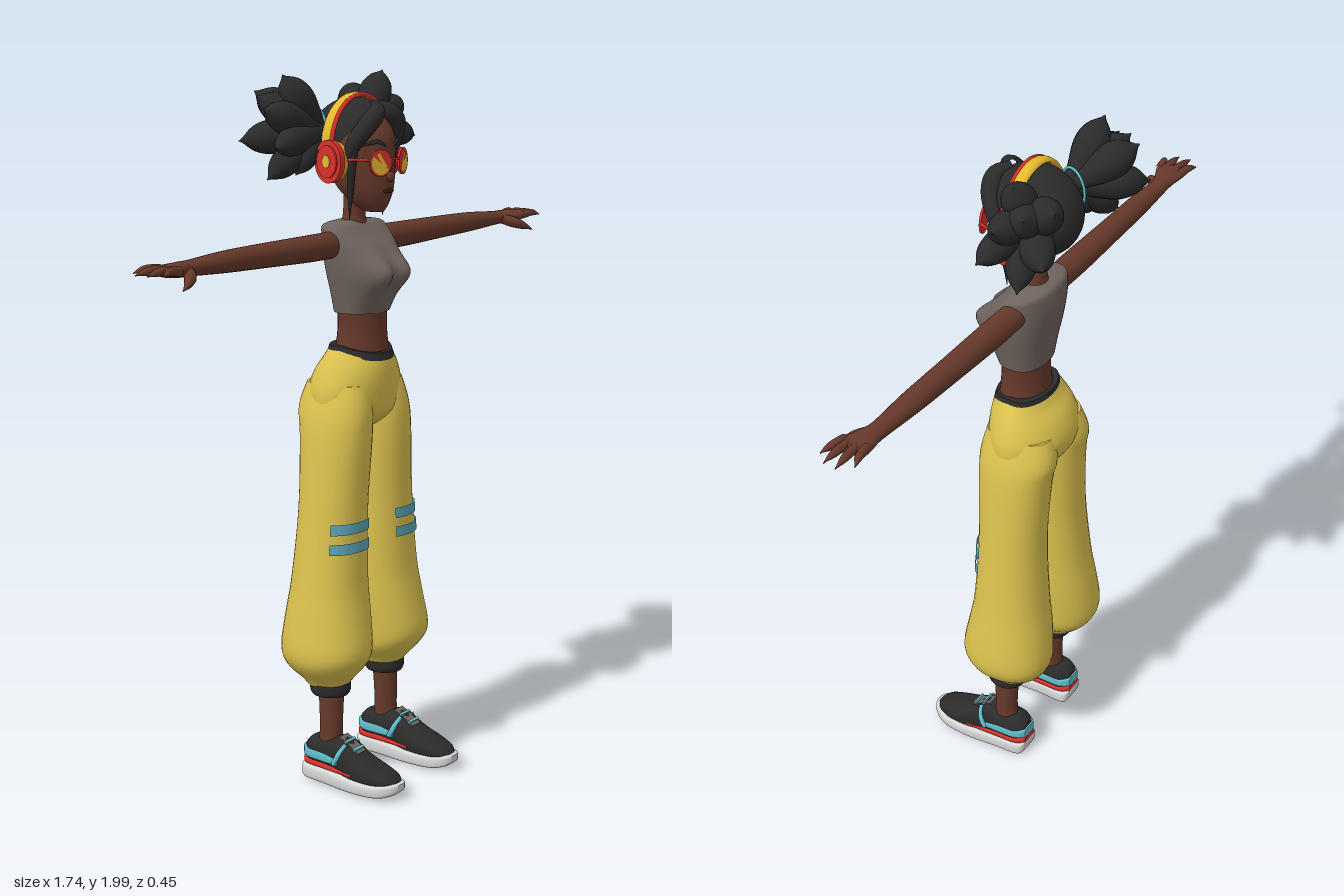
import * as THREE from 'three';
import { mergeVertices } from 'three/addons/utils/BufferGeometryUtils.js';

const paint = (name, color) => Object.assign(new THREE.MeshStandardMaterial({ color }), { name });
const V = (p) => new THREE.Vector3(...p);

// Smooth value of one column of the section table
function spline(rows, s, k) {
  const n = rows.length - 1, i = Math.min(Math.floor(s), n - 1), f = s - i;
  const at = (j) => rows[Math.max(0, Math.min(n, j))][k];
  const a = at(i - 1), b = at(i), c = at(i + 1), d = at(i + 2);
  return b + 0.5 * f * (c - a + f * (2 * a - 5 * b + 4 * c - d + f * (3 * (b - c) + d - a)));
}

// Skin through cross-sections [t, cu, cv, ru, rvPlus, rvMinus] along an axis (t must rise).
// Axis y: u = x, v = z.  Axis x: u = z, v = y.  Axis z: u = y, v = x.
function loft(rows, { axis = 'y', power = 2, seg = 32, sub = 4, from = 0, to = Math.PI * 2, open = false } = {}) {
  const pos = [], idx = [], steps = (rows.length - 1) * sub, closed = !open;
  const cols = closed ? seg : seg + 1;
  const put = (u, t, v) => pos.push(...(axis === 'y' ? [u, t, v] : axis === 'x' ? [t, v, u] : [v, u, t]));
  const bend = (x) => Math.sign(x) * Math.abs(x) ** (2 / power);
  const ring = (s) => {
    const [t, cu, cv, ru, vp, vm] = [0, 1, 2, 3, 4, 5].map((k) => spline(rows, s, k));
    for (let j = 0; j < cols; j++) {
      const a = from + (to - from) * j / seg, sn = bend(Math.sin(a));
      put(cu + ru * bend(Math.cos(a)), t, cv + (sn > 0 ? vp : vm) * sn);
    }
    return [cu, t, cv];
  };
  for (let i = 0; i <= steps; i++) ring(i / sub);
  for (let i = 0; i < steps; i++) for (let j = 0; j < seg; j++) {
    const k = (j + 1) % cols, a = i * cols + j, b = a + cols, c = i * cols + k, d = c + cols;
    idx.push(a, b, c, b, d, c);
  }
  if (closed) for (const s of [0, steps / sub]) {
    const start = pos.length / 3, mid = start + cols;
    put(...ring(s));
    for (let j = 0; j < cols; j++) {
      const a = start + j, b = start + (j + 1) % cols;
      s === 0 ? idx.push(mid, a, b) : idx.push(mid, b, a);
    }
  }
  const g = new THREE.BufferGeometry();
  g.setAttribute('position', new THREE.Float32BufferAttribute(pos, 3));
  g.setIndex(idx);
  g.computeVertexNormals();
  return g;
}

// Tube along a curve with varying radius
function taper(points, radii, seg = 16, sides = 12) {
  const curve = new THREE.CatmullRomCurve3(points.map(V));
  const g = new THREE.TubeGeometry(curve, seg, 1, sides), p = g.attributes.position, v = new THREE.Vector3();
  for (let i = 0; i <= seg; i++) {
    const c = curve.getPointAt(i / seg), r = spline(radii.map((x) => [x]), i / seg * (radii.length - 1), 0);
    for (let j = 0; j <= sides; j++) {
      const k = i * (sides + 1) + j;
      v.fromBufferAttribute(p, k).sub(c).multiplyScalar(Math.max(r, 0.0005)).add(c);
      p.setXYZ(k, v.x, v.y, v.z);
    }
  }
  g.deleteAttribute('uv');
  g.deleteAttribute('normal');
  const m = mergeVertices(g, 1e-5);
  m.computeVertexNormals();
  return m;
}

function warp(g, rule) {
  const p = g.attributes.position;
  for (let i = 0; i < p.count; i++) p.setXYZ(i, ...rule(p.getX(i), p.getY(i), p.getZ(i)));
  g.computeVertexNormals();
  return g;
}

function flipX(g) {
  const m = g.clone().scale(-1, 1, 1), a = m.index.array;
  for (let i = 0; i < a.length; i += 3) [a[i], a[i + 1]] = [a[i + 1], a[i]];
  m.computeVertexNormals();
  return m;
}

const ball = (x, y, z, a, b, c) => new THREE.SphereGeometry(1, 20, 14).scale(a, b, c).translate(x, y, z);
const disc = (r, h, x, y, z) => new THREE.CylinderGeometry(r, r, h, 28).rotateZ(Math.PI / 2).scale(1, 1.2, 0.92).translate(x, y, z);

export function createModel() {
  const model = new THREE.Group();
  const skin = paint('skin', 0x66392a), hair = paint('black', 0x2b2b2c), cloth = paint('trouser yellow', 0xdcc24e);
  const top = paint('taupe', 0x71655f), red = paint('red', 0xd8322a), gold = paint('gold', 0xf0c030);
  const cyan = paint('cyan', 0x5fc0cc), blue = paint('patch blue', 0x5ba6b8), white = paint('sole white', 0xd6d6d6);
  const brown = paint('lip brown', 0x3d1c17);
  blue.side = THREE.DoubleSide;
  const add = (name, geo, mat) => {
    const m = new THREE.Mesh(geo, mat);
    m.name = name;
    model.add(m);
  };
  const pair = (name, geo, mat) => {
    add(name + 'Left', geo, mat);
    add(name + 'Right', flipX(geo), mat);
  };

  // Trousers, with the waist dipping at the front
  const dip = (x, y, z) => [x, y - 0.022 * Math.max(0, z / 0.085) * Math.max(0, Math.min(1, (y - 1.16) / 0.07)), z];
  const legRows = [
    [0.285, 0.128, -0.02, 0.05, 0.055, 0.06], [0.31, 0.128, -0.02, 0.066, 0.072, 0.088],
    [0.35, 0.132, -0.02, 0.102, 0.107, 0.122], [0.4, 0.135, -0.02, 0.115, 0.13, 0.135],
    [0.5, 0.125, -0.02, 0.113, 0.115, 0.125], [0.6, 0.117, -0.02, 0.106, 0.1, 0.11],
    [0.8, 0.105, -0.02, 0.094, 0.095, 0.096], [1.0, 0.091, -0.02, 0.088, 0.104, 0.105],
    [1.08, 0.084, -0.02, 0.08, 0.103, 0.119], [1.15, 0.072, -0.02, 0.068, 0.09, 0.1]];
  pair('trouserLeg', loft(legRows, { power: 2.15 }), cloth);
  add('hips', warp(loft([
    [1.02, 0, -0.02, 0.06, 0.05, 0.05], [1.06, 0, -0.02, 0.145, 0.095, 0.1], [1.12, 0, -0.02, 0.157, 0.106, 0.118],
    [1.18, 0, -0.02, 0.138, 0.108, 0.1], [1.22, 0, -0.02, 0.117, 0.106, 0.07], [1.245, 0, -0.02, 0.1, 0.102, 0.056]]), dip), cloth);
  add('waistband', warp(loft([[1.234, 0, -0.02, 0.105, 0.106, 0.06], [1.254, 0, -0.02, 0.098, 0.1, 0.055]]), dip), hair);
  // Knee patches follow the leg surface
  for (const y of [0.705, 0.76]) {
    const rows = [y - 0.015, y + 0.015].map((h) => legRows[5].map((a, k) =>
      (k ? THREE.MathUtils.lerp(a, legRows[6][k], (h - 0.6) / 0.2) + (k > 2 ? 0.005 : 0) : h)));
    pair('kneePatch', loft(rows, { power: 2.15, seg: 16, sub: 1, from: 0.58, to: 2.0, open: true }), blue);
  }

  // Ankles and cuffs
  pair('cuff', loft([[0.262, 0.128, -0.014, 0.05, 0.052, 0.054], [0.275, 0.128, -0.014, 0.056, 0.058, 0.06],
    [0.302, 0.128, -0.014, 0.055, 0.058, 0.06]]), hair);
  pair('ankle', loft([[0.08, 0.13, -0.012, 0.036, 0.036, 0.04], [0.16, 0.13, -0.01, 0.032, 0.032, 0.034],
    [0.29, 0.127, -0.012, 0.036, 0.038, 0.038]]), skin);

  // Shoes, lofted from heel to toe
  const shoe = { axis: 'z', seg: 28 };
  pair('sole', loft([[-0.09, 0.034, 0.13, 0.014, 0.03, 0.03], [-0.075, 0.026, 0.13, 0.024, 0.048, 0.048],
    [0, 0.025, 0.132, 0.025, 0.053, 0.05], [0.1, 0.023, 0.134, 0.023, 0.061, 0.058],
    [0.18, 0.025, 0.134, 0.021, 0.056, 0.054], [0.222, 0.033, 0.132, 0.017, 0.036, 0.036],
    [0.236, 0.039, 0.131, 0.008, 0.016, 0.016]], { ...shoe, power: 4 }), white);
  pair('shoeUpper', loft([[-0.086, 0.085, 0.13, 0.024, 0.022, 0.022], [-0.06, 0.083, 0.13, 0.046, 0.043, 0.043],
    [0, 0.085, 0.131, 0.052, 0.047, 0.046], [0.045, 0.083, 0.132, 0.058, 0.05, 0.049],
    [0.1, 0.063, 0.133, 0.045, 0.054, 0.052], [0.16, 0.053, 0.133, 0.031, 0.052, 0.05],
    [0.205, 0.048, 0.132, 0.02, 0.038, 0.038], [0.226, 0.044, 0.131, 0.008, 0.015, 0.015]], { ...shoe, power: 2.4 }), hair);
  const band = (y, h, z1, grow) => loft([[-0.091, y, 0.13, h, 0.025, 0.025], [-0.066, y, 0.13, h, 0.044 + grow, 0.044 + grow],
    [0, y, 0.131, h, 0.049 + grow, 0.048 + grow], [z1, y - 0.003, 0.133, h * 0.6, 0.053 + grow, 0.052 + grow]], { ...shoe, power: 5 });
  pair('shoeRedBand', band(0.056, 0.009, 0.1, 0.001), red);
  pair('shoeHeelBand', band(0.082, 0.016, 0.05, 0), cyan);
  for (const s of [-1, 1]) {
    pair('shoeSideStrap', taper([[0.132 + s * 0.049, 0.072, 0.035], [0.132 + s * 0.045, 0.1, 0.05], [0.132 + s * 0.026, 0.132, 0.062]],
      [0.008, 0.009, 0.006], 8, 8), cyan);
  }
  pair('shoeTongue', new THREE.BoxGeometry(0.038, 0.009, 0.075).rotateX(0.5).translate(0.132, 0.124, 0.066), top);
  for (const z of [0.058, 0.088]) {
    pair('lace', new THREE.BoxGeometry(0.044, 0.006, 0.008).rotateX(0.5).translate(0.132, 0.167 - z * 0.55, z), cyan);
  }

  // Midriff, cropped top and neck
  add('midriff', loft([[1.2, 0, -0.005, 0.092, 0.08, 0.065], [1.29, 0, -0.002, 0.077, 0.068, 0.058],
    [1.37, 0, 0, 0.082, 0.066, 0.058]]), skin);
  add('croppedTop', warp(loft([[1.343, 0, 0, 0.085, 0.066, 0.064], [1.4, 0, 0, 0.097, 0.086, 0.072],
    [1.46, 0, 0, 0.11, 0.1, 0.083], [1.52, 0, 0, 0.117, 0.07, 0.092], [1.56, 0, -0.01, 0.12, 0.04, 0.08],
    [1.583, 0, -0.025, 0.108, 0.032, 0.058], [1.592, 0, -0.028, 0.05, 0.02, 0.035]], { power: 2.4, seg: 48, sub: 6 }),
  (x, y, z) => [x, y, z + (z > 0.02 ? 0.036 * Math.exp(-(((Math.abs(x) - 0.048) / 0.04) ** 2) - ((y - 1.452) / 0.05) ** 2) : 0)]), top);
  add('neck', loft([[1.565, 0, -0.028, 0.046, 0.04, 0.036], [1.61, 0, -0.026, 0.032, 0.03, 0.03],
    [1.7, 0, -0.018, 0.034, 0.034, 0.034]]), skin);

  // Arms and hands
  pair('arm', loft([[0.09, -0.022, 1.532, 0.034, 0.036, 0.036], [0.2, -0.021, 1.531, 0.037, 0.036, 0.036],
    [0.4, -0.02, 1.533, 0.034, 0.032, 0.032], [0.55, -0.018, 1.534, 0.032, 0.028, 0.028],
    [0.68, -0.016, 1.534, 0.026, 0.02, 0.021], [0.72, -0.012, 1.535, 0.03, 0.019, 0.02],
    [0.77, -0.006, 1.537, 0.044, 0.015, 0.017], [0.795, -0.005, 1.538, 0.04, 0.01, 0.012]], { axis: 'x', seg: 24 }), skin);
  [[-0.036, -0.054, 0.84], [-0.014, -0.02, 0.87], [0.008, 0.016, 0.866], [0.027, 0.045, 0.84]].forEach(([z0, z1, x]) =>
    pair('finger', taper([[0.765, 1.538, z0], [0.81, 1.542, (z0 + z1) / 2], [x - 0.005, 1.536, z1], [x, 1.535, z1]],
      [0.013, 0.012, 0.009, 0.001], 12, 10), skin));
  pair('thumb', taper([[0.7, 1.53, 0.0], [0.735, 1.515, 0.035], [0.77, 1.5, 0.052], [0.785, 1.494, 0.056]],
    [0.014, 0.016, 0.011, 0.001], 12, 10), skin);

  // Head and face
  add('head', loft([[1.617, 0, 0.045, 0.018, 0.026, 0.03], [1.638, 0, 0.03, 0.043, 0.052, 0.05],
    [1.68, 0, 0.008, 0.069, 0.086, 0.075], [1.75, 0, -0.01, 0.086, 0.106, 0.1], [1.82, 0, -0.02, 0.091, 0.114, 0.115],
    [1.88, 0, -0.025, 0.073, 0.08, 0.09], [1.91, 0, -0.025, 0.03, 0.03, 0.04]]), skin);
  add('nose', ball(0, 1.714, 0.095, 0.014, 0.014, 0.014), skin);
  add('noseBridge', ball(0, 1.745, 0.091, 0.009, 0.035, 0.01), skin);
  add('lips', ball(0, 1.676, 0.09, 0.022, 0.007, 0.009), brown);
  pair('eyebrow', taper([[0.018, 1.797, 0.094], [0.045, 1.808, 0.085], [0.072, 1.797, 0.054]], [0.003, 0.006, 0.002], 10, 8), hair);

  // Round tinted glasses
  const face = (g) => g.rotateY(0.3).translate(0.05, 1.753, 0.1);
  pair('lens', face(new THREE.CylinderGeometry(0.036, 0.036, 0.006, 32).rotateX(Math.PI / 2)), red);
  pair('lensTint', face(new THREE.CircleGeometry(0.031, 20, Math.PI * 1.2, Math.PI).translate(0, 0, 0.0045)), gold);
  pair('lensGlint', face(new THREE.PlaneGeometry(0.01, 0.044).rotateZ(-0.6).translate(-0.003, 0.006, 0.005)), gold);
  add('glassesBridge', new THREE.BoxGeometry(0.034, 0.006, 0.005).translate(0, 1.762, 0.11), red);
  pair('glassesArm', taper([[0.083, 1.762, 0.088], [0.098, 1.762, 0.05], [0.105, 1.762, 0]], [0.004, 0.004, 0.004], 8, 6), red);

  // Hair: cap, fringe and loose strands
  add('hairCap', new THREE.SphereGeometry(1, 40, 28, 0, Math.PI * 2, 0, 1.7).rotateX(-0.87)
    .scale(0.106, 0.125, 0.13).translate(0, 1.797, -0.025), hair);
  pair('fringe', taper([[0, 1.905, 0.045], [0.03, 1.885, 0.073], [0.065, 1.852, 0.068], [0.09, 1.8, 0.04], [0.092, 1.74, 0.02]],
    [0.012, 0.025, 0.025, 0.02, 0.006], 20), hair);
  pair('strand', taper([[0.09, 1.83, 0.05], [0.09, 1.75, 0.035], [0.077, 1.67, 0.02], [0.074, 1.6, 0.015]],
    [0.01, 0.012, 0.009, 0.001], 16, 8), hair);

  // Bunches of puffy lobes, each with a tie
  const root = [0.085, 1.835, -0.07];
  [[0.22, 1.985, -0.095, 0.044], [0.205, 1.94, -0.205, 0.046], [0.305, 1.9, -0.09, 0.042], [0.31, 1.8, -0.045, 0.038],
    [0.265, 1.81, -0.21, 0.044], [0.25, 1.71, -0.125, 0.038], [0.185, 1.72, -0.08, 0.033], [0.26, 1.93, -0.15, 0.044]]
    .forEach(([x, y, z, r]) => {
      const tip = [x, y, z], mid = root.map((a, k) => a + (tip[k] - a) * 0.6 + (k === 0 ? 0.008 : 0));
      pair('hairLobe', taper([root, mid, tip], [0.022, 0.026, r * 0.8, r, r * 1.02, r * 0.72, 0], 22, 16), hair);
    });
  pair('hairTie', new THREE.TorusGeometry(0.052, 0.004, 8, 32).rotateY(Math.PI / 2 + 0.45).translate(0.084, 1.838, -0.085), cyan);

  // Headphones
  add('headband', new THREE.TorusGeometry(0.128, 0.008, 10, 48, Math.PI).scale(1, 1.08, 2.3).translate(0, 1.788, -0.02), gold);
  add('headbandTrim', new THREE.TorusGeometry(0.13, 0.006, 8, 48, Math.PI).scale(1, 1.08, 1).translate(0, 1.788, -0.002), red);
  pair('earPad', disc(0.044, 0.02, 0.109, 1.757, -0.01), gold);
  pair('earCup', disc(0.048, 0.02, 0.127, 1.757, -0.01), red);
  pair('earCupRim', disc(0.036, 0.008, 0.139, 1.757, -0.01), red);
  pair('earCupCentre', disc(0.014, 0.006, 0.143, 1.757, -0.01), gold);
  return model;
}
